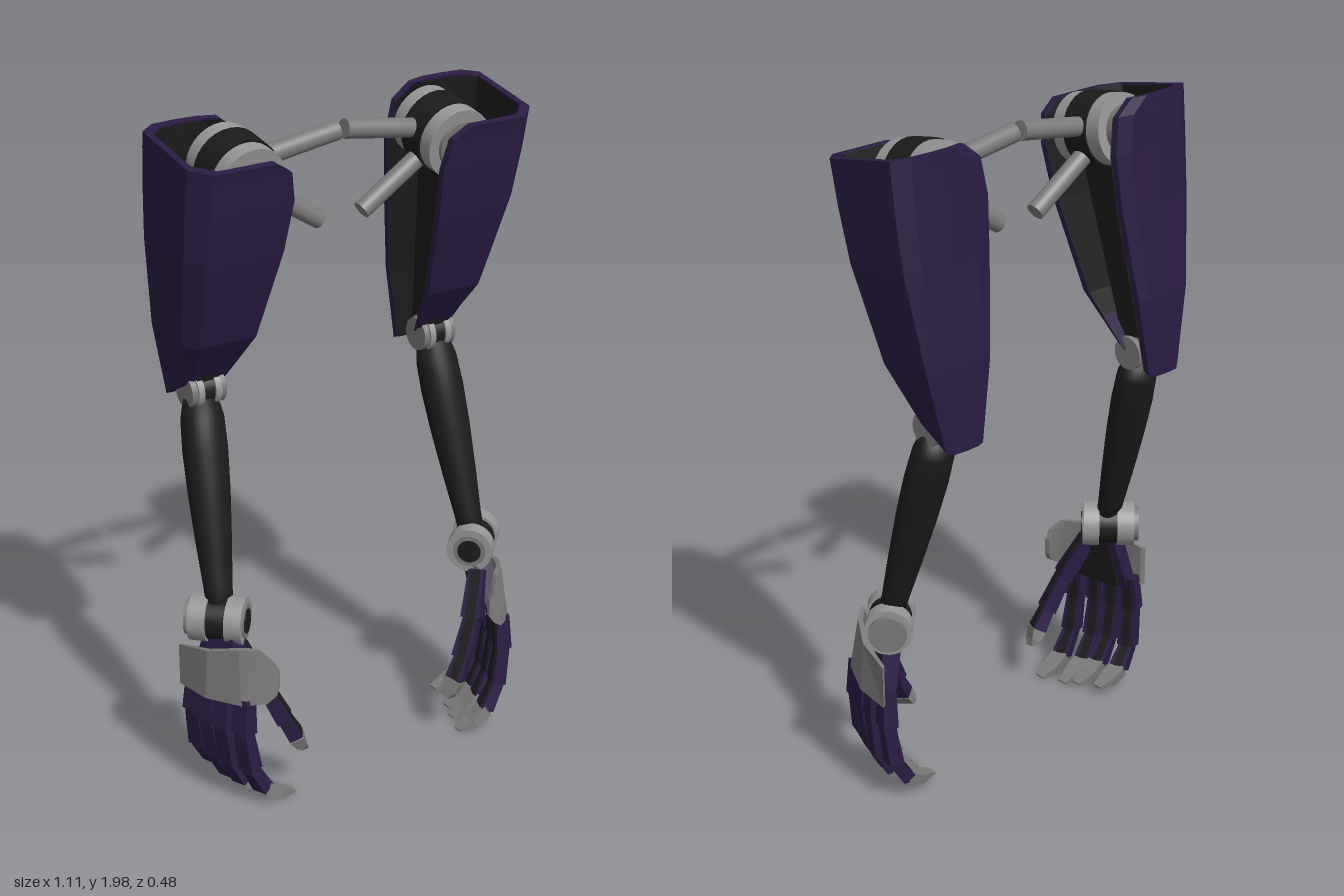
import * as THREE from 'three';

const V = (x, y, z) => new THREE.Vector3(x, y, z);
const UP = V(0, 1, 0);
const lerp = THREE.MathUtils.lerp;

function material(name, color, side = THREE.FrontSide) {
  const m = new THREE.MeshStandardMaterial({ color, side });
  m.name = name;
  return m;
}

// Flat-shaded skin over rows of points; solid rows are closed rings with end caps
function loft(rows, solid) {
  const pos = [], n = rows[0].length;
  const tri = (...ps) => ps.forEach((p) => pos.push(p.x, p.y, p.z));
  for (let i = 0; i < rows.length - 1; i++) {
    for (let j = 0; j < (solid ? n : n - 1); j++) {
      const k = (j + 1) % n;
      const a = rows[i][j], b = rows[i][k], c = rows[i + 1][k], d = rows[i + 1][j];
      tri(a, d, b);
      tri(b, d, c);
    }
  }
  if (solid) {
    const first = rows[0], last = rows[rows.length - 1];
    for (let j = 0; j < n / 2 - 1; j++) {
      const q = [j, j + 1, n - 2 - j, n - 1 - j];
      tri(first[q[0]], first[q[1]], first[q[2]]);
      tri(first[q[0]], first[q[2]], first[q[3]]);
      tri(last[q[0]], last[q[2]], last[q[1]]);
      tri(last[q[0]], last[q[3]], last[q[2]]);
    }
  }
  const g = new THREE.BufferGeometry();
  g.setAttribute('position', new THREE.Float32BufferAttribute(pos, 3));
  g.computeVertexNormals();
  return g;
}

// Round bar from p to q
function bar(p, q, r, sides = 28) {
  const d = q.clone().sub(p);
  const g = new THREE.CylinderGeometry(r, r, d.length(), sides);
  g.applyQuaternion(new THREE.Quaternion().setFromUnitVectors(UP, d.normalize()));
  const m = p.clone().add(q).multiplyScalar(0.5);
  return g.translate(m.x, m.y, m.z);
}

// Tapered block from p to q; w is width along "across", t is thickness, lift shifts it palmward
function block(p, q, across, w, t, lift = 0) {
  const dir = q.clone().sub(p).normalize();
  const out = dir.clone().cross(across).normalize();
  const wide = out.clone().cross(dir).normalize();
  const ring = (c, i) => [[-1, -1], [-1, 1], [1, 1], [1, -1]].map(([a, b]) =>
    c.clone().addScaledVector(wide, a * w[i] / 2).addScaledVector(out, b * t[i] / 2 + lift));
  return loft([ring(p, 0), ring(q, 1)], true);
}

// Mirrored copy in x with corner order reversed
function mirrored(geo) {
  const g = geo.index ? geo.toNonIndexed() : geo.clone();
  for (const key of ['position', 'normal']) {
    const a = g.attributes[key];
    for (let i = 0; i < a.count; i += 3) {
      for (const c of [[i, i], [i + 1, i + 2]]) {
        const [u, v] = c.map((k) => V().fromBufferAttribute(a, k));
        a.setXYZ(c[0], -v.x, v.y, v.z);
        a.setXYZ(c[1], -u.x, u.y, u.z);
      }
    }
  }
  return g;
}

// Upper arm levels: front z, front y, back z, back y, outer x, inner x
const LEVELS = [
  [0.16, 1.94, -0.165, 2.0, 0.55, 0.315],
  [0.15, 1.905, -0.168, 1.955, 0.55, 0.26],
  [0.132, 1.82, -0.178, 1.85, 0.548, 0.243],
  [0.095, 1.67, -0.195, 1.69, 0.54, 0.255],
  [0.0, 1.4, -0.23, 1.42, 0.505, 0.29],
  [-0.105, 1.255, -0.238, 1.18, 0.457, 0.33],
];

function shellOutline([zf, yf, zb, yb, xo, xi], d) {
  const k = (zf - zb) / 0.325;
  const f = zf - d, b = zb + d, o = xo - d;
  return [
    [xi, f], [o - 0.05 * k, f], [o, f - 0.05 * k],
    [o, b + 0.035 * k], [o - 0.045 * k, b + 0.004 * k], [(xi + o) / 2, b],
    [xi + 0.05 * k, b + 0.003 * k], [xi, b + 0.015 * k],
  ].map(([x, z]) => V(x, lerp(yf, yb, (zf - z) / (zf - zb)), z));
}

function buildParts(mat) {
  const parts = [];
  const add = (name, geo, m) => parts.push([name, geo, m]);
  const { purple, black, lining, metal, light } = mat;

  // Upper arm shell, open toward the body, with dark lining and core
  add('upperArmShell', loft(LEVELS.map((l) =>
    [...shellOutline(l, 0), ...shellOutline(l, 0.02).reverse()]), true), purple);
  add('shellLining', loft(LEVELS.map((l) =>
    shellOutline(l, 0.023).map((p) => p.setY(p.y - 0.004))), false), lining);
  add('upperArmCore', block(V(0.375, 1.85, -0.02), V(0.395, 1.24, -0.14), V(0, 0, 1),
    [0.17, 0.08], [0.1, 0.07]), black);

  // Stack of discs along an axis: from, to, radius, material
  const stack = (name, c, axis, discs) => discs.forEach(([a, b, r, m]) =>
    add(name, bar(c.clone().addScaledVector(axis, a), c.clone().addScaledVector(axis, b), r), m));
  stack('shoulderJoint', V(0.335, 1.878, -0.005), V(0, -0.17, 0.985).normalize(), [
    [-0.13, -0.1, 0.07, metal], [-0.1, -0.05, 0.102, light], [-0.052, 0.034, 0.107, black],
    [0.032, 0.08, 0.102, light], [0.078, 0.092, 0.07, metal]]);
  stack('elbowJoint', V(0.395, 1.225, -0.132), V(1, 0, 0), [
    [-0.055, -0.035, 0.05, metal], [-0.037, -0.018, 0.056, light], [-0.02, 0.02, 0.05, black],
    [0.018, 0.037, 0.056, light], [0.035, 0.055, 0.05, metal]]);
  stack('wristJoint', V(0.45, 0.577, 0.035), V(-1, 0, 1).normalize(), [
    [-0.094, -0.078, 0.055, metal], [-0.08, -0.028, 0.07, light], [-0.03, 0.03, 0.062, black],
    [0.028, 0.078, 0.07, light], [0.078, 0.081, 0.05, metal], [0.081, 0.084, 0.036, black]]);

  // Rods toward the body
  add('upperRod', bar(V(0.25, 1.903, -0.02), V(0.012, 1.938, -0.02), 0.028), metal);
  add('lowerRod', bar(V(0.27, 1.822, -0.02), V(0.07, 1.693, -0.02), 0.027), metal);

  // Forearm
  const top = V(0.4, 1.2, -0.13), low = V(0.445, 0.61, 0.03);
  const axis = top.clone().sub(low), len = axis.length();
  const arm = new THREE.LatheGeometry([[0, 0], [0.04, 0], [0.043, 0.1], [0.053, 0.3], [0.063, 0.55],
    [0.067, 0.75], [0.064, 0.9], [0.05, 1], [0, 1]].map(([r, t]) => new THREE.Vector2(r, t * len)), 28);
  arm.scale(1, 1, 0.86);
  arm.applyQuaternion(new THREE.Quaternion().setFromUnitVectors(UP, axis.normalize()));
  add('forearm', arm.translate(low.x, low.y, low.z), black);

  // Curved guard over the back of the hand: x, z, bottom, top, inward lean of the top edge
  const guard = [[0.37, 0.232, 0.425, 0.475, 0], [0.385, 0.24, 0.4, 0.505, 0.008],
    [0.415, 0.235, 0.38, 0.54, 0.03], [0.475, 0.19, 0.37, 0.535, 0.03],
    [0.53, 0.08, 0.36, 0.51, 0.012], [0.545, -0.04, 0.355, 0.485, 0]];
  add('handGuard', loft(guard.map(([x, z, b, t, lean]) => {
    const inw = V(0.41 - x, 0, 0.04 - z).normalize();
    const p = V(x, b, z), q = V(x, t, z).addScaledVector(inw, lean);
    return [p, q, q.clone().addScaledVector(inw, 0.016), p.clone().addScaledVector(inw, 0.016)];
  }), true), metal);

  // Palm with a dark inner plate
  const across = V(-0.3, 0, 0.95).normalize();
  const wristEnd = V(0.445, 0.55, 0.055), knuckles = V(0.475, 0.37, 0.083);
  add('palm', block(wristEnd, knuckles, across, [0.1, 0.21], [0.06, 0.05]), purple);
  add('palmPlate', block(wristEnd, knuckles, across, [0.06, 0.15], [0.02, 0.02], 0.025), black);

  // One jointed digit: purple segments, dark inner strips, joints and a claw
  const digit = (name, pts, side, width) => {
    for (let i = 0; i < pts.length - 2; i++) {
      const [p, q] = [pts[i], pts[i + 1]];
      const w = width * (1 - 0.06 * i);
      const end = p.clone().lerp(q, 0.97);
      add(name + 'Segment', block(p, end, side, [w * 0.84, w], [w * 0.66, w * 0.78]), purple);
      add(name + 'Strip', block(p, end, side, [w * 0.45, w * 0.5], [w * 0.2, w * 0.2], w * 0.31), black);
      const h = side.clone().multiplyScalar(w * 0.38);
      add(name + 'Joint', bar(q.clone().sub(h), q.clone().add(h), w * 0.29, 12), black);
    }
    const [p, q] = pts.slice(-2);
    const mid = p.clone().lerp(q, 0.5).add(V(0, -0.008, 0));
    add(name + 'Claw', block(p, mid, side, [width * 0.86, width * 0.84], [width * 0.72, width * 0.5]), metal);
    add(name + 'ClawTip', block(mid, q, side, [width * 0.84, width * 0.5], [width * 0.5, width * 0.1]), metal);
  };

  // Four fingers: knuckle x, knuckle z, tip z, tip y
  [[0.455, 0.178, 0.182, 0.01], [0.482, 0.115, 0.108, 0.01],
    [0.498, 0.052, 0.06, 0.02], [0.506, -0.01, -0.025, 0.04]].forEach(([x, z, tz, ty], i) => {
    const zAt = (t) => lerp(z, tz, t);
    digit('finger' + (i + 1), [V(x, 0.385, z), V(x + 0.006, 0.27, zAt(0.3)), V(x - 0.012, 0.145, zAt(0.7)),
      V(x - 0.055, 0.06 + ty * 0.5, zAt(0.9)), V(x - 0.155, ty + 0.012, tz)], across, 0.06);
  });

  // Thumb
  digit('thumb', [V(0.425, 0.51, 0.1), V(0.368, 0.375, 0.15), V(0.318, 0.265, 0.172),
    V(0.286, 0.205, 0.18), V(0.25, 0.16, 0.178)], V(0.5, 0, 0.85).normalize(), 0.062);
  return parts;
}

export function createModel() {
  const parts = buildParts({
    purple: material('dark purple', 0x2a1c42),
    black: material('black', 0x1b1b1b),
    lining: material('black lining', 0x1b1b1b, THREE.DoubleSide),
    metal: material('metal grey', 0x7c7979),
    light: material('light metal grey', 0x959595),
  });
  const model = new THREE.Group();
  model.name = 'mechanicalArms';
  for (const side of ['left', 'right']) {
    const arm = new THREE.Group();
    arm.name = side + 'Arm';
    for (const [name, geo, mat] of parts) {
      const mesh = new THREE.Mesh(side === 'left' ? geo : mirrored(geo), mat);
      mesh.name = name;
      arm.add(mesh);
    }
    model.add(arm);
  }
  return model;
}
